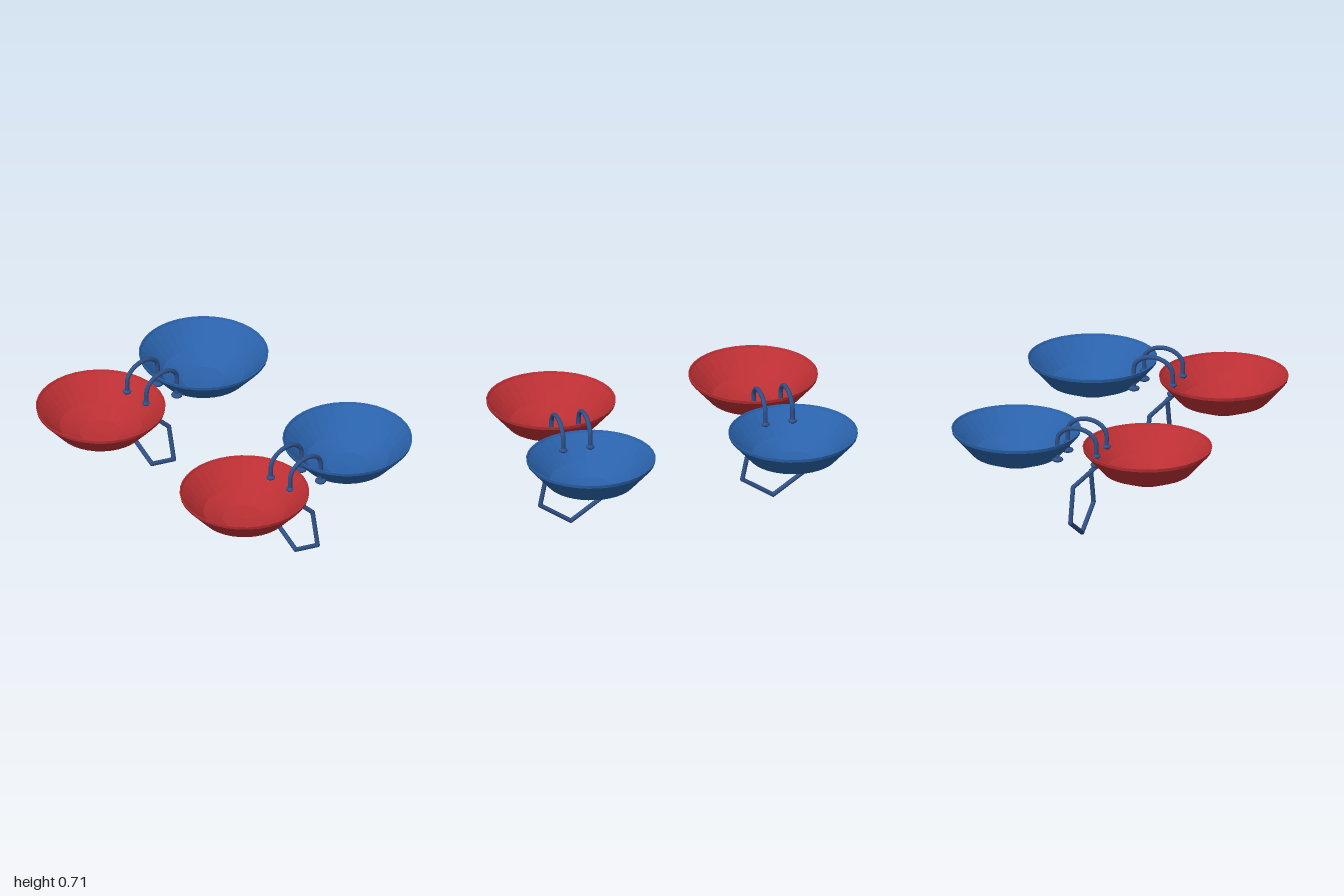
import * as THREE from 'three';

const RED = 0xbb2f33, BLUE = 0x2a62ab, STEEL = 0x2f5088;
const WIRE = 0.0135;
const V = (x, y, z) => new THREE.Vector3(x, y, z);

function part(name, geometry, color, flatShading = false) {
  const mesh = new THREE.Mesh(geometry, new THREE.MeshStandardMaterial({ color, flatShading }));
  mesh.name = name;
  return mesh;
}

// Shallow faceted cup: outer wall upwards, over the rim, inner wall back down
function cup(name, z, color) {
  const profile = [
    [0, 0.4], [0.06, 0.4], [0.13, 0.408], [0.26, 0.464], [0.377, 0.595], [0.381, 0.615],
    [0.375, 0.615], [0.369, 0.603], [0.3, 0.533], [0.24, 0.478], [0.125, 0.428], [0, 0.418],
  ].map(([r, y]) => new THREE.Vector2(r, y));
  const mesh = part(name, new THREE.LatheGeometry(profile, 36), color, true);
  mesh.position.z = z;
  return mesh;
}

// Flattened bead that fixes a wire to a cup wall
function bead(name, x, y, z, radius, height) {
  const mesh = part(name, new THREE.SphereGeometry(radius, 16, 10), STEEL);
  mesh.scale.y = height / radius;
  mesh.position.set(x, y, z);
  return mesh;
}

// Bent wire: straight rods with a rounded joint at each bend
function bentWire(name, points) {
  const group = new THREE.Group();
  group.name = name;
  points.forEach((p, i) => {
    const joint = part('wireBend', new THREE.SphereGeometry(WIRE, 12, 8), STEEL);
    joint.position.copy(p);
    group.add(joint);
    if (i === 0) return;
    const dir = p.clone().sub(points[i - 1]);
    const rod = part('wireRod', new THREE.CylinderGeometry(WIRE, WIRE, dir.length(), 12), STEEL);
    rod.position.copy(p).add(points[i - 1]).multiplyScalar(0.5);
    rod.quaternion.setFromUnitVectors(V(0, 1, 0), dir.normalize());
    group.add(rod);
  });
  return group;
}

// Arched wire joining the front and back cups
function bridge(x) {
  const points = [V(x, 0.49, 0.122), V(x, 0.55, 0.122)];
  for (let i = 0; i <= 12; i++) {
    const a = (i / 12) * Math.PI;
    points.push(V(x, 0.61 + 0.089 * Math.sin(a), 0.122 * Math.cos(a)));
  }
  points.push(V(x, 0.55, -0.122), V(x, 0.49, -0.122));
  const curve = new THREE.CatmullRomCurve3(points);
  return part('bridgeWire', new THREE.TubeGeometry(curve, 48, WIRE, 10), STEEL);
}

function cupPair(name, x) {
  const group = new THREE.Group();
  group.name = name;
  group.position.x = x;
  group.add(cup('frontCup', 0.412, RED), cup('backCup', -0.414, BLUE));
  for (const side of [-1, 1]) {
    const wx = side * 0.083;
    group.add(bridge(wx));
    for (const z of [0.122, -0.122]) {
      group.add(bead('outerBead', wx, 0.488, z, 0.034, 0.016));
      group.add(bead('innerBead', wx, 0.542, z, 0.026, 0.014));
    }
  }
  // Pointed loop hanging below the front cup
  const half = [[0.083, 0.475, 0.122], [0.145, 0.35, 0], [0.188, 0.14, 0]];
  group.add(bentWire('hangingLoop', [
    ...half.map(([px, y, z]) => V(-px, y, z)),
    V(0, 0.0145, 0),
    ...half.reverse().map(([px, y, z]) => V(px, y, z)),
  ]));
  return group;
}

export function createModel() {
  const model = new THREE.Group();
  model.name = 'pairedCups';
  model.add(cupPair('leftPair', 0.619), cupPair('rightPair', -0.619));
  return model;
}
